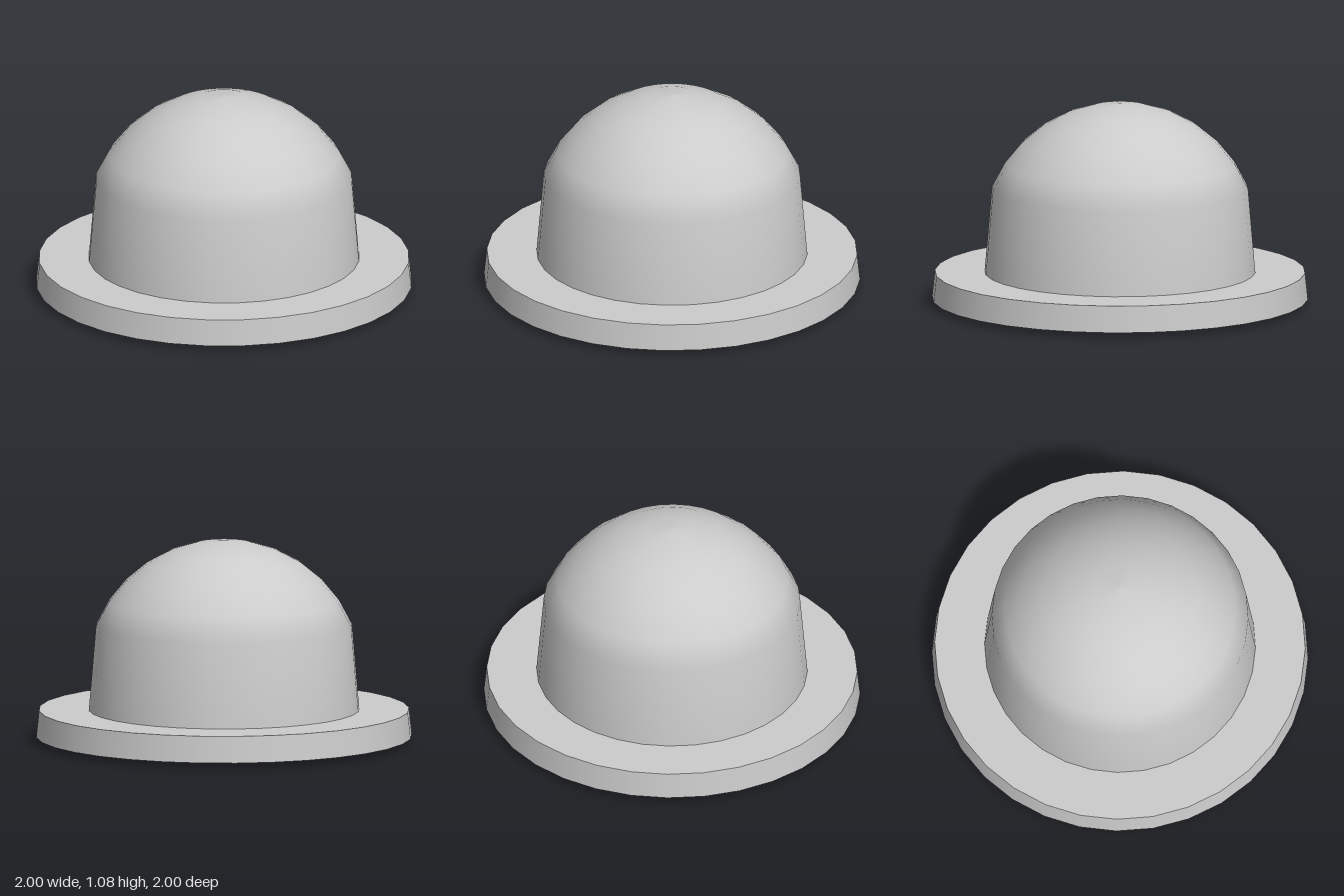
import * as THREE from 'three';

const SEGMENTS = 32;

// Closed ring surface from [radius, height] points, listed bottom to top
function turned(name, points, material) {
  const profile = points.map(([r, y]) => new THREE.Vector2(r, y));
  const mesh = new THREE.Mesh(new THREE.LatheGeometry(profile, SEGMENTS), material);
  mesh.name = name;
  return mesh;
}

export function createModel() {
  const model = new THREE.Group();
  model.name = 'domedCap';
  const material = new THREE.MeshStandardMaterial({ color: 0xcccccc });

  // Flange: each face is turned separately so its edges stay sharp
  const flange = new THREE.Group();
  flange.name = 'flange';
  flange.add(
    turned('flangeUnderside', [[0, 0], [0.73, 0.005], [1, 0.03]], material),
    turned('flangeRim', [[1, 0.03], [0.985, 0.172]], material),
    turned('flangeTop', [[0.985, 0.172], [0.72, 0.172]], material),
  );

  // Dome: slightly tapered wall running smoothly into a spherical crown
  const radius = 0.738, centreY = 0.342, step = Math.PI / 16;
  const profile = [[0.72, 0.172]];
  for (let i = 6; i >= 0; i--) {
    profile.push([radius * Math.sin(i * step), centreY + radius * Math.cos(i * step)]);
  }
  model.add(flange, turned('dome', profile, material));
  return model;
}
